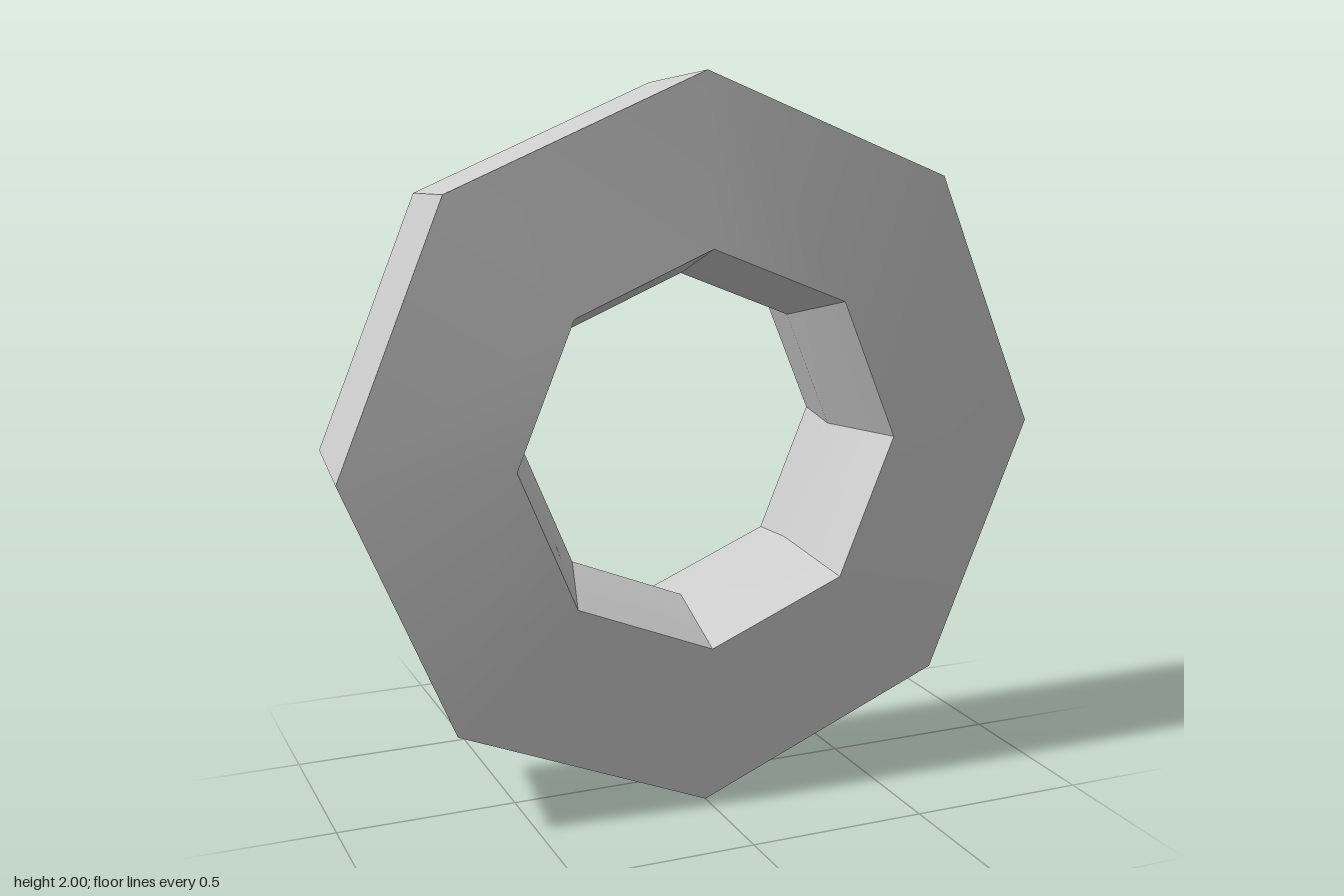
import * as THREE from 'three';
import { toCreasedNormals } from 'three/addons/utils/BufferGeometryUtils.js';

export function createModel() {
  const group = new THREE.Group();
  group.name = 'octagonalRing';
  const grey = new THREE.MeshStandardMaterial({ color: 0xcccccc });
  grey.name = 'light grey';

  // Closed cross-section (radius, depth): tapered rim, sloped front, waisted bore
  const profile = [
    [0.5, -0.225],
    [0.955, -0.225],
    [1, 0.18],
    [0.545, 0.225],
    [0.455, 0],
    [0.5, -0.225],
  ].map(([r, z]) => new THREE.Vector2(r, z));

  // Eight-sided revolution, turned so its axis points forward
  const lathe = new THREE.LatheGeometry(profile, 8);
  lathe.rotateX(Math.PI / 2);

  // Sharp facets, with the shallow bend inside the bore kept smooth
  const ring = new THREE.Mesh(toCreasedNormals(lathe, THREE.MathUtils.degToRad(38)), grey);
  ring.name = 'ring';
  ring.position.y = 1;
  group.add(ring);
  return group;
}
